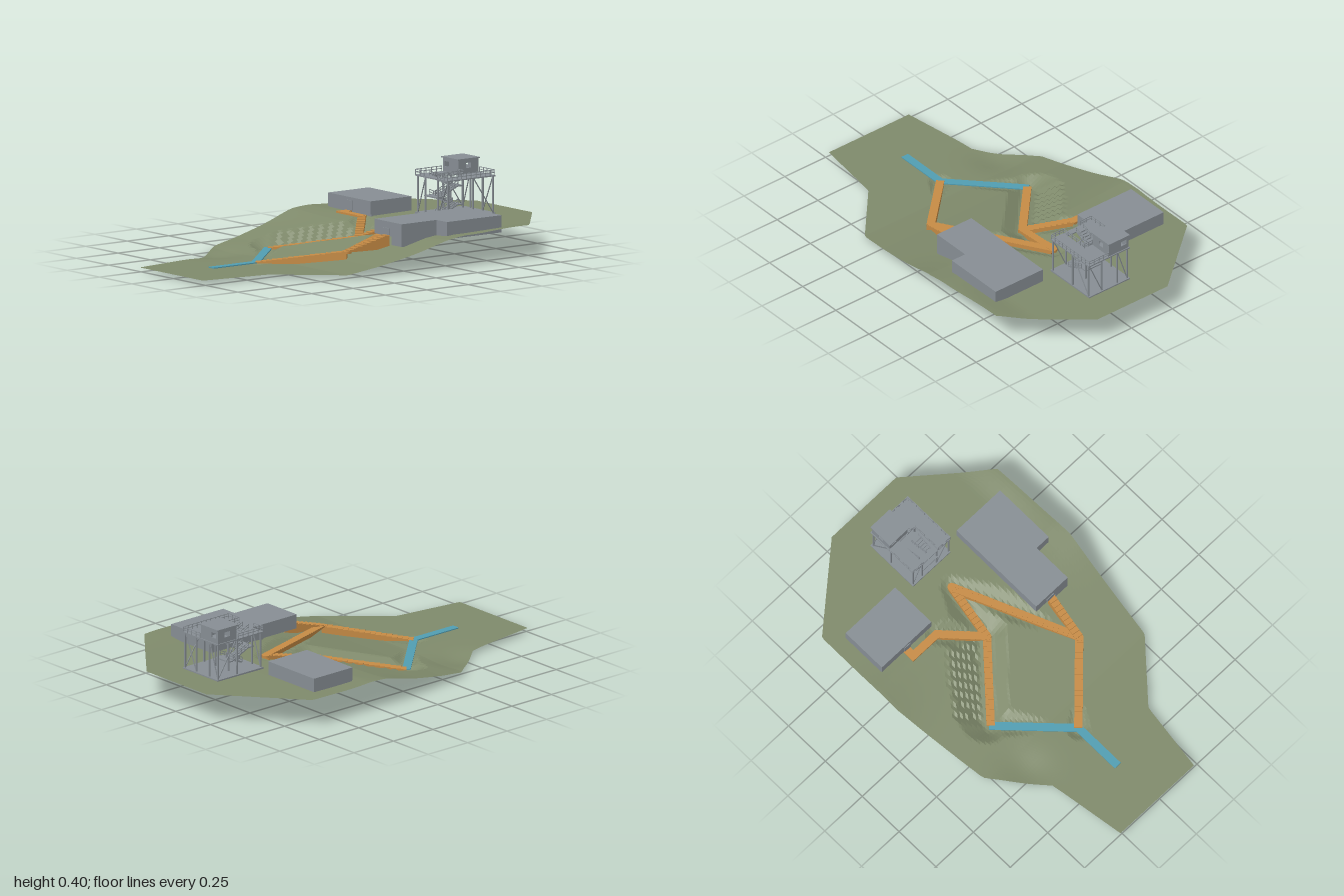
import * as THREE from 'three';

const mat = (name, color, extra = {}) => Object.assign(new THREE.MeshStandardMaterial({ color, ...extra }), { name });

export function createModel() {
  const model = new THREE.Group();
  model.name = 'hillsideSite';
  const grass = mat('sage green', 0x7f8a6b, { flatShading: true, side: THREE.DoubleSide });
  const grey = mat('concrete grey', 0x878e94);
  const wood = mat('timber orange', 0xc68b45);
  const blue = mat('path blue', 0x519db2);

  const add = (name, geo, material, parent = model) => {
    const m = new THREE.Mesh(geo, material);
    m.name = name;
    parent.add(m);
    return m;
  };
  // Box given by its min and max corners
  const box = (name, x0, x1, y0, y1, z0, z1, material = grey, parent = model) => {
    const m = add(name, new THREE.BoxGeometry(x1 - x0, y1 - y0, z1 - z0), material, parent);
    m.position.set((x0 + x1) / 2, (y0 + y1) / 2, (z0 + z1) / 2);
    return m;
  };
  // Square bar between two points
  const bar = (name, a, b, t, parent) => {
    const p = new THREE.Vector3(...a), q = new THREE.Vector3(...b);
    const m = add(name, new THREE.BoxGeometry(t, t, p.distanceTo(q)), grey, parent);
    m.position.copy(p).add(q).multiplyScalar(0.5);
    m.lookAt(q);
    return m;
  };
  const lerpTable = (t, v) => {
    let i = 0;
    while (i < t.length - 2 && v > t[i + 1][0]) i++;
    return THREE.MathUtils.mapLinear(v, t[i][0], t[i + 1][0], t[i][1], t[i + 1][1]);
  };

  // Routes: [x, z, y] at both ends
  const A = [-0.03, 0.48, 0.024], B = [0.28, 0.17, 0.085], C = [0.01, -0.42, 0.146];
  const D = [-0.03, -0.14, 0.085], E = [-0.32, 0.18, 0.024], F = [-0.21, -0.3, 0.146];
  const G = [0.31, -0.05, 0.146], H = [-0.03, 0.74, 0.024];
  const flights = [[A, B], [B, C], [D, C], [E, D], [D, F], [B, G]];
  const paths = [[E, A], [A, H]];

  // Ground: sloping hill, cut back along the routes
  const left = [[-1, -0.22], [-0.67, -0.61], [-0.17, -0.61], [0.34, -0.53], [0.6, -0.32], [1, -0.26]];
  const right = [[-1, 0.21], [-0.69, 0.58], [-0.22, 0.6], [0.36, 0.53], [0.64, 0.28], [1, 0.23]];
  const slope = [[-1, 0.145], [-0.6, 0.142], [-0.3, 0.138], [-0.2, 0.127], [0, 0.085], [0.2, 0.045], [0.36, 0.02], [1, 0.02]];
  const bell = (v, c, s) => Math.exp(-(((v - c) / s) ** 2));
  const height = (x, z) => {
    let y = lerpTable(slope, z);
    y += 0.022 * THREE.MathUtils.smoothstep(x, 0.42, 0.6) * bell(z, -0.6, 0.3);
    y += 0.014 * Math.min(1, (x / 0.6) ** 4) * bell(z, -0.2, 0.15);
    y -= 0.02 * bell(x, -0.36, 0.11) * bell(z, 0.47, 0.12);
    for (const [p, q] of [...flights, ...paths]) {
      const dx = q[0] - p[0], dz = q[1] - p[1], len = Math.hypot(dx, dz);
      const t = THREE.MathUtils.clamp(((x - p[0]) * dx + (z - p[1]) * dz) / len ** 2, 0, 1);
      let d = Math.hypot(x - p[0] - t * dx, z - p[1] - t * dz) - 0.03;
      const uphill = (x - p[0]) * dz - (z - p[1]) * dx > 0;
      // notched bank beside the lower left stair
      if (p === E && q === D && uphill) d -= 0.035 * ((t * 9) % 1);
      y = Math.min(y, p[2] + t * (q[2] - p[2]) - (p[2] === q[2] ? 0.004 : 0.02) + Math.max(0, d) * 0.55);
    }
    return Math.max(0, y);
  };
  const NX = 72, NZ = 110;
  const ground = new THREE.PlaneGeometry(1, 1, NX, NZ);
  const pos = ground.attributes.position;
  for (let i = 0; i < pos.count; i++) {
    const z = -2 * pos.getY(i);
    const x = THREE.MathUtils.lerp(lerpTable(left, z), lerpTable(right, z), pos.getX(i) + 0.5);
    pos.setXYZ(i, x, height(x, z), z);
  }
  ground.computeVertexNormals();
  add('ground', ground, grass);

  // Solid stepped flights along the timber routes
  const W = 0.04;
  const stair = ([p, q]) => {
    const len = Math.hypot(q[0] - p[0], q[1] - p[1]), rise = q[2] - p[2];
    const n = Math.max(8, Math.round(len / 0.026));
    const s = new THREE.Shape().moveTo(0, -0.004);
    for (let i = 0; i < n; i++) s.lineTo((len * i) / n, (rise * (i + 1)) / n).lineTo((len * (i + 1)) / n, (rise * (i + 1)) / n);
    s.lineTo(len, -0.004);
    const g = new THREE.ExtrudeGeometry(s, { depth: W, bevelEnabled: false }).translate(0, 0, -W / 2);
    const m = add('hillStair', g, wood);
    m.position.set(p[0], p[2], p[1]);
    m.rotation.y = Math.atan2(p[1] - q[1], q[0] - p[0]);
  };
  flights.forEach(stair);
  for (const [x, z, y] of [B, C, D, F]) {
    const m = add('stairLanding', new THREE.CylinderGeometry(W * 0.53, W * 0.53, 0.012, 8), wood);
    m.position.set(x, y - 0.005, z);
  }
  box('entryWalk', -0.38, -0.2, 0.138, 0.147, -0.32, -0.28, wood);
  box('entryWalkEnd', -0.385, -0.345, 0.138, 0.147, -0.345, -0.28, wood);

  // Flat blue paths
  for (const [p, q] of paths) {
    const m = add('bluePath', new THREE.BoxGeometry(Math.hypot(q[0] - p[0], q[1] - p[1]) + 0.015, 0.005, W), blue);
    m.position.set((p[0] + q[0]) / 2, 0.023, (p[1] + q[1]) / 2);
    m.rotation.y = Math.atan2(p[1] - q[1], q[0] - p[0]);
  }

  // Left building
  box('leftBuilding', -0.53, -0.2, 0.146, 0.21, -0.59, -0.345);
  box('leftPlinth', -0.53, -0.2, 0.125, 0.146, -0.59, -0.35);
  box('leftDoor', -0.38, -0.34, 0.147, 0.195, -0.346, -0.341);

  // Right building, L-shaped with a lower storey
  box('rightBuilding', 0.21, 0.5, 0.127, 0.21, -0.59, -0.26);
  box('rightWing', 0.21, 0.42, 0.14, 0.21, -0.26, -0.05);
  box('lowerStorey', 0.34, 0.42, 0.1, 0.14, -0.26, -0.05);
  box('rightDoor', 0.28, 0.325, 0.146, 0.178, -0.051, -0.046);

  // Observation tower
  const tower = new THREE.Group();
  tower.name = 'tower';
  model.add(tower);
  const tb = (name, ...v) => box(name, ...v, grey, tower);
  const deckY = 0.33;
  tb('towerPad', -0.12, 0.13, 0.132, 0.15, -0.84, -0.55);
  tb('rearDeck', -0.12, 0.13, deckY - 0.006, deckY, -0.84, -0.71);
  tb('leftDeck', -0.12, -0.05, deckY - 0.006, deckY, -0.71, -0.55);
  tb('rightDeck', 0.05, 0.13, deckY - 0.006, deckY, -0.71, -0.55);
  for (const x of [-0.11, -0.05, 0.045, 0.125])
    for (const z of [-0.83, -0.71, -0.56]) bar('column', [x, 0.15, z], [x, deckY, z], 0.007, tower);
  for (const z of [-0.83, -0.56]) {
    bar('brace', [-0.11, 0.15, z], [-0.05, deckY, z], 0.004, tower);
    bar('brace', [0.045, 0.15, z], [0.125, deckY, z], 0.004, tower);
  }
  for (const x of [-0.11, 0.125]) bar('brace', [x, 0.15, -0.83], [x, deckY, -0.71], 0.004, tower);

  // Guard rails with evenly spaced posts
  const rail = (a, b) => {
    const p = new THREE.Vector3(...a), q = new THREE.Vector3(...b);
    const n = Math.max(1, Math.round(p.distanceTo(q) / 0.03));
    for (const h of [0.013, 0.025]) bar('handrail', [a[0], a[1] + h, a[2]], [b[0], b[1] + h, b[2]], 0.003, tower);
    for (let i = 0; i <= n; i++) {
      const v = p.clone().lerp(q, i / n);
      bar('railPost', [v.x, v.y, v.z], [v.x, v.y + 0.025, v.z], 0.003, tower);
    }
  };
  const edge = [[0.01, -0.838], [0.128, -0.838], [0.128, -0.552], [0.052, -0.552], [0.052, -0.71], [0.005, -0.71]];
  const edge2 = [[-0.118, -0.71], [-0.118, -0.552], [-0.052, -0.552]];
  for (const e of [edge, edge2])
    for (let i = 0; i < e.length - 1; i++) rail([e[i][0], deckY, e[i][1]], [e[i + 1][0], deckY, e[i + 1][1]]);

  // Switchback tower stair: right lane climbs back, left lane climbs forward
  const steps = 7, lift = 0.045, zFront = -0.58, zBack = -0.68;
  for (let f = 0; f < 4; f++) {
    const y0 = 0.15 + f * lift, isRight = f % 2 === 0;
    const x0 = isRight ? 0.002 : -0.048, x1 = x0 + 0.044;
    const z0 = isRight ? zFront : zBack, z1 = isRight ? zBack : zFront;
    for (let i = 0; i < steps; i++) {
      const z = z0 + ((z1 - z0) * (i + 0.5)) / steps, y = y0 + (lift * (i + 1)) / steps;
      tb('tread', x0, x1, y - 0.007, y, z - 0.008, z + 0.008);
    }
    for (const x of [x0, x1]) {
      bar('stringer', [x, y0, z0], [x, y0 + lift, z1], 0.006, tower);
      rail([x, y0, z0], [x, y0 + lift, z1]);
    }
    const zl = isRight ? -0.71 : zFront;
    tb('landing', -0.05, 0.046, y0 + lift - 0.006, y0 + lift, zl, zl + 0.03);
  }

  // Cabin with an open window in every wall
  const wall = (x, z, ry) => {
    const s = new THREE.Shape([[-0.06, 0], [0.06, 0], [0.06, 0.068], [-0.06, 0.068]].map((v) => new THREE.Vector2(...v)));
    const flip = ry === 0 ? -1 : 1; // keeps front and rear openings in line
    const c = Math.abs(x) > 0.2 ? 0 : (z === -0.775 ? 0 : 0.031 * flip);
    s.holes.push(new THREE.Path([[-0.016, 0.025], [-0.016, 0.05], [0.016, 0.05], [0.016, 0.025]].map(([a, b]) => new THREE.Vector2(a + c, b))));
    const m = add('cabinWall', new THREE.ExtrudeGeometry(s, { depth: 0.005, bevelEnabled: false }), grey, tower);
    m.position.set(x, deckY, z);
    m.rotation.y = ry;
  };
  wall(-0.055, -0.72, 0);
  wall(-0.055, -0.83, Math.PI);
  wall(0, -0.775, Math.PI / 2);
  wall(-0.11, -0.775, -Math.PI / 2);
  tb('cabinRoof', -0.12, 0.01, 0.396, 0.402, -0.84, -0.708);

  return model;
}
